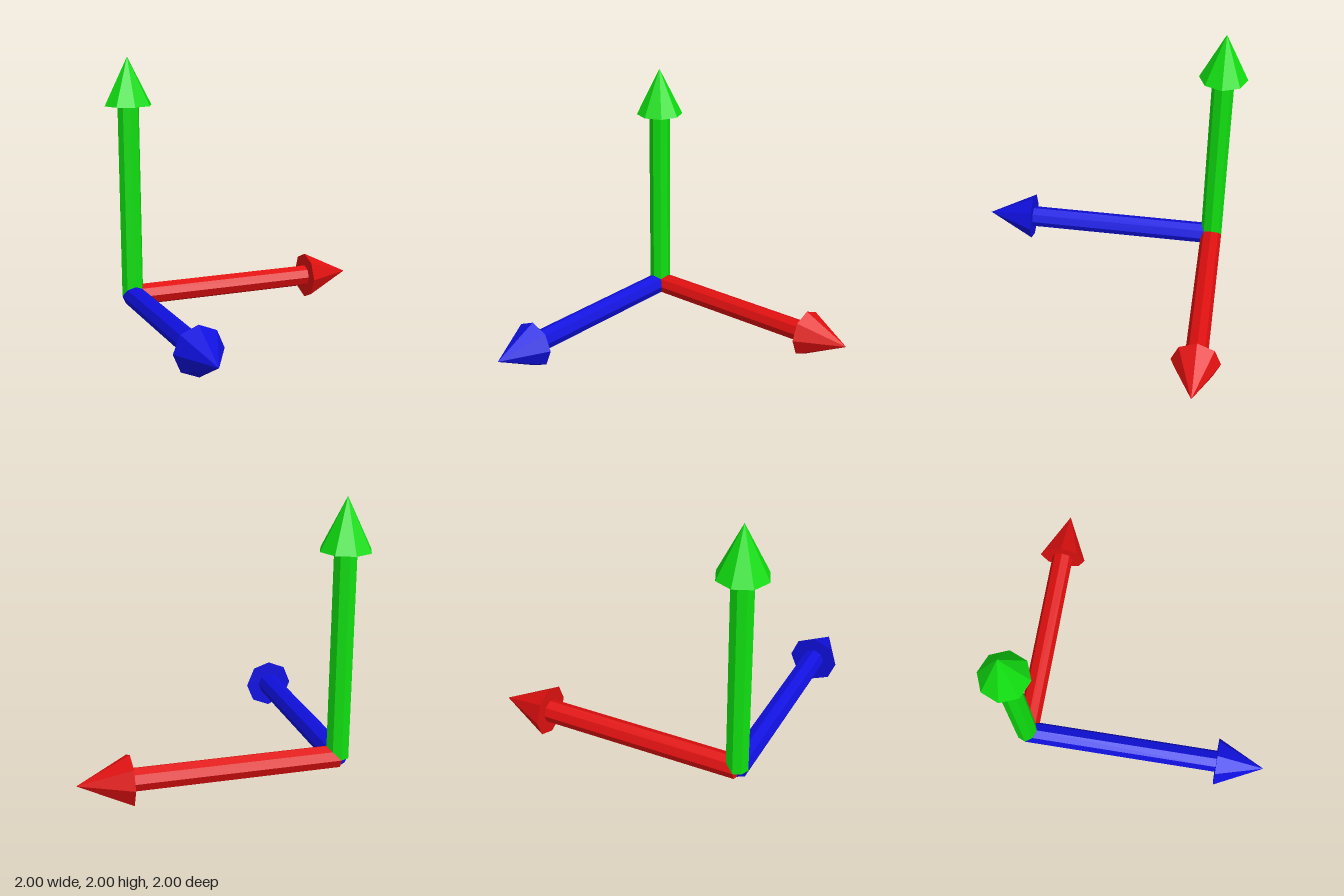
import * as THREE from 'three';

const SIDES = 8;
const SHAFT_LENGTH = 1.46, SHAFT_RADIUS = 0.082;
const HEAD_LENGTH = 0.36, HEAD_RADIUS = 0.18;

// One arrow pointing up +y from its own origin
function makeArrow(name, color) {
  const material = new THREE.MeshStandardMaterial({ color, flatShading: true });
  const arrow = new THREE.Group();
  arrow.name = name;

  const shaft = new THREE.Mesh(
    new THREE.CylinderGeometry(SHAFT_RADIUS, SHAFT_RADIUS, SHAFT_LENGTH, SIDES), material);
  shaft.name = name + 'Shaft';
  shaft.position.y = SHAFT_LENGTH / 2;

  const head = new THREE.Mesh(
    new THREE.ConeGeometry(HEAD_RADIUS, HEAD_LENGTH, SIDES), material);
  head.name = name + 'Head';
  head.position.y = SHAFT_LENGTH + HEAD_LENGTH / 2;

  arrow.add(shaft, head);
  return arrow;
}

export function createModel() {
  const model = new THREE.Group();
  model.name = 'axisArrows';

  // Three arrows sharing one corner
  const xArrow = makeArrow('xArrow', 0xe01010);
  xArrow.rotation.z = -Math.PI / 2;
  const yArrow = makeArrow('yArrow', 0x10e010);
  const zArrow = makeArrow('zArrow', 0x1010e0);
  zArrow.rotation.x = Math.PI / 2;

  for (const arrow of [xArrow, yArrow, zArrow]) {
    arrow.position.set(-0.82, 0.18, -0.82);
    model.add(arrow);
  }
  return model;
}
